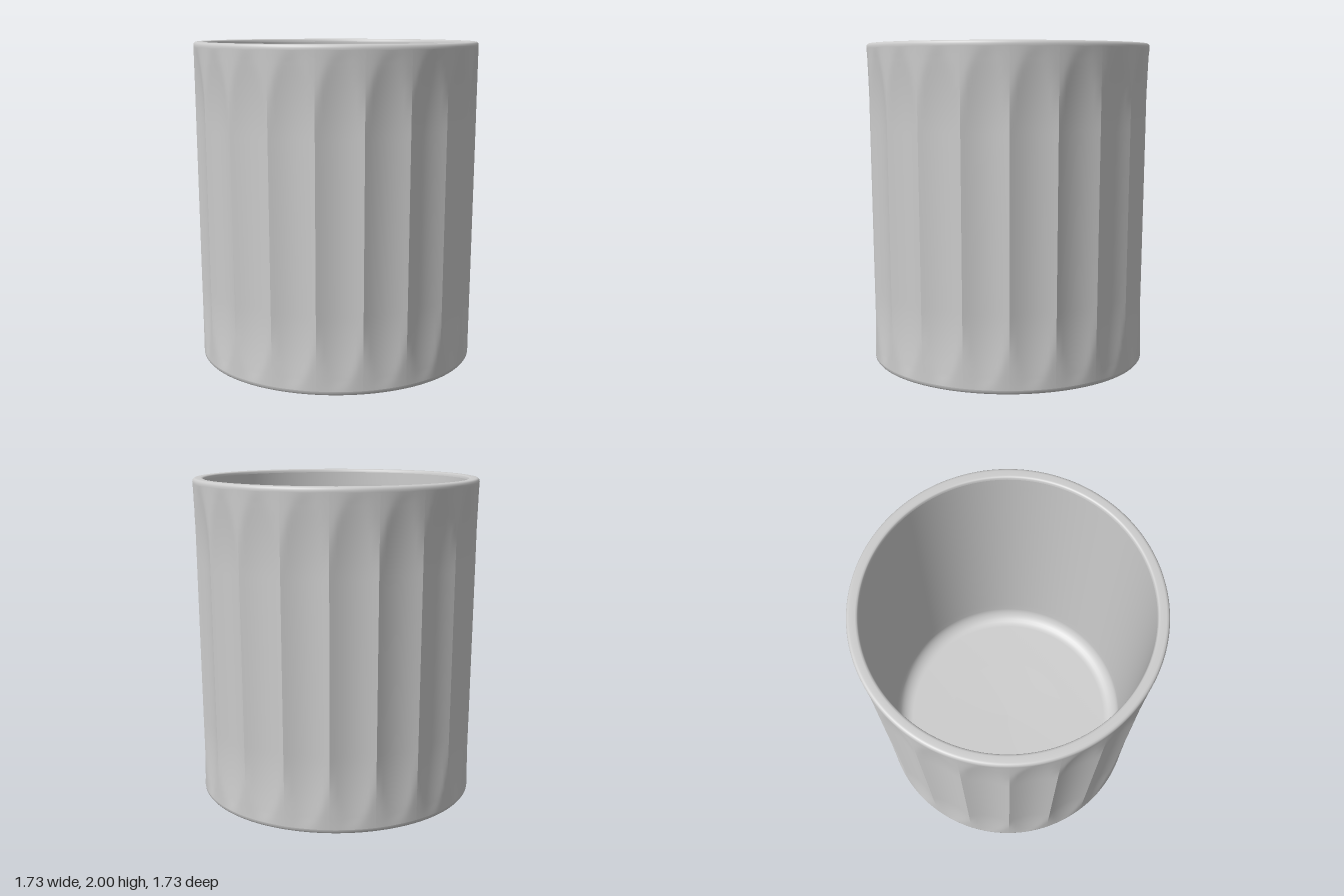
import * as THREE from 'three';
import { mergeGeometries } from 'three/addons/utils/BufferGeometryUtils.js';

const FLUTES = 20;
const STEP = (Math.PI * 2) / FLUTES;
const PANEL_SEGMENTS = 12;
const Y0 = 0.07, Y1 = 1.97;      // height range of the fluted wall
const DEPTH = 0.03;              // depth of each concave flute
const material = new THREE.MeshStandardMaterial({ color: 0xcccccc });

// outer radius without flutes, widening slightly towards the rim
const outerRadius = (y) => 0.845 + 0.01 * y;

// flute cut at u (-1..1 across the flute) and height y, with rounded ends
function fluteCut(u, y) {
  const s = Math.max(0, (y - 1.5) / 0.45, (0.5 - y) / 0.42);
  const cut = DEPTH * (1 - u * u - s * s);
  const soft = 0.006 * Math.min(1, s);
  const fade = Math.min(1, (Y1 - y) / 0.04, (y - Y0) / 0.04);
  return 0.5 * (cut + Math.sqrt(cut * cut + soft * soft)) * Math.max(0, fade);
}

// one flute between two sharp ridges
function flutePanel() {
  const geo = new THREE.PlaneGeometry(2, 1, PANEL_SEGMENTS, 80);
  const pos = geo.attributes.position;
  for (let i = 0; i < pos.count; i++) {
    const u = pos.getX(i);
    const y = Y0 + (pos.getY(i) + 0.5) * (Y1 - Y0);
    const a = ((u + 1) * STEP) / 2;
    const r = outerRadius(y) - fluteCut(u, y);
    pos.setXYZ(i, r * Math.sin(a), y, r * Math.cos(a));
  }
  geo.computeVertexNormals();
  return geo;
}

function lathe(name, points) {
  const profile = points.map(([x, y]) => new THREE.Vector2(x, y));
  const mesh = new THREE.Mesh(new THREE.LatheGeometry(profile, FLUTES * PANEL_SEGMENTS), material);
  mesh.name = name;
  return mesh;
}

export function createModel() {
  const cup = new THREE.Group();
  cup.name = 'flutedCup';

  // outer wall: one flute repeated around the axis
  const panel = flutePanel();
  const panels = [];
  for (let i = 0; i < FLUTES; i++) panels.push(panel.clone().rotateY(i * STEP));
  const wall = new THREE.Mesh(mergeGeometries(panels), material);
  wall.name = 'flutedWall';
  cup.add(wall);

  // rim with softened edges
  cup.add(lathe('rim', [
    [outerRadius(Y1), Y1], [0.865, 1.98], [0.862, 1.991], [0.855, 1.998], [0.845, 2],
    [0.815, 2], [0.806, 1.998], [0.801, 1.992], [0.799, 1.98],
  ]));

  // inside wall, fillet and shallow floor
  const inside = [[0.799, 1.98], [0.798, 1.9], [0.785, 0.3], [0.783, 0.22]];
  for (let i = 1; i <= 8; i++) {
    const a = (i / 8) * (Math.PI / 2);
    inside.push([0.683 + 0.1 * Math.cos(a), 0.22 - 0.1 * Math.sin(a)]);
  }
  inside.push([0.4, 0.108], [0, 0.1]);
  cup.add(lathe('inside', inside));

  // slightly domed underside with a rounded outer edge
  cup.add(lathe('underside', [
    [0, 0], [0.2, 0.004], [0.4, 0.012], [0.6, 0.024], [0.75, 0.035], [0.82, 0.042],
    [0.836, 0.047], [0.844, 0.057], [outerRadius(Y0), Y0],
  ]));

  return cup;
}
